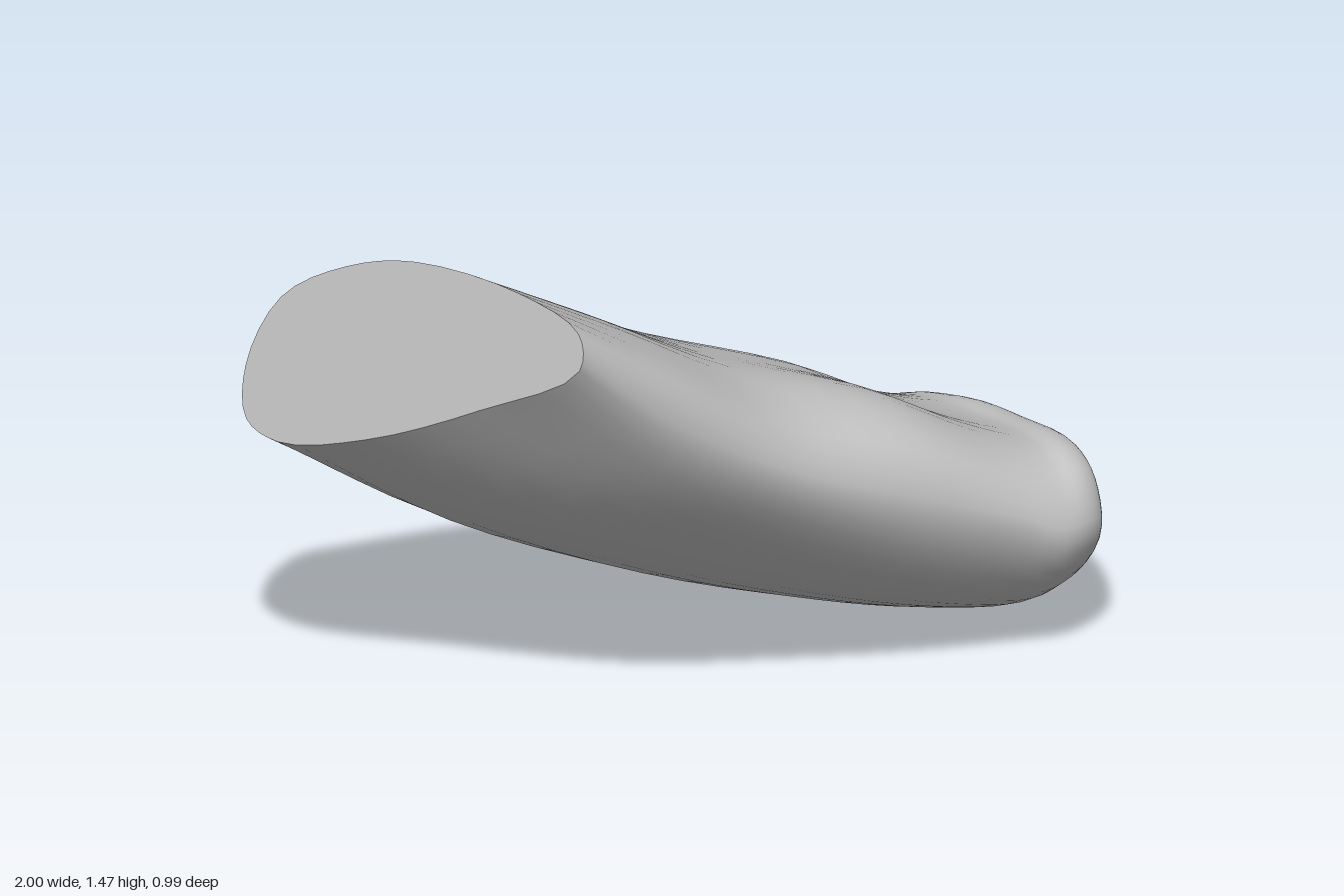
import * as THREE from 'three';

const AROUND = 44, STEPS = 4;

// Cross-sections: x at z = 0, yaw and lean of the slice, then [z, y] outline
// running top -> back -> bottom -> front.
const sections = [
  { x: -0.82, yaw: 0.37, lean: 0.14, pts: [[0.3, 1.46], [0.02, 1.45], [-0.16, 1.38], [-0.32, 1.25], [-0.39, 1.05], [-0.37, 0.92], [-0.28, 0.89], [-0.05, 0.97], [0.24, 1.14], [0.485, 1.32], [0.47, 1.41]] },
  { x: -0.42, yaw: 0.22, lean: 0.06, pts: [[0.25, 1.24], [0, 1.22], [-0.2, 1.16], [-0.39, 1.03], [-0.46, 0.84], [-0.42, 0.63], [-0.31, 0.55], [-0.03, 0.63], [0.29, 0.83], [0.45, 1.02], [0.43, 1.17]] },
  { x: 0, yaw: 0.1, lean: 0, pts: [[0.22, 0.99], [0, 0.98], [-0.22, 0.93], [-0.42, 0.8], [-0.495, 0.6], [-0.46, 0.4], [-0.3, 0.29], [0, 0.37], [0.27, 0.57], [0.425, 0.78], [0.38, 0.92]] },
  { x: 0.4, yaw: 0.03, lean: 0, pts: [[0.22, 0.82], [0, 0.78], [-0.22, 0.73], [-0.42, 0.62], [-0.495, 0.46], [-0.45, 0.25], [-0.26, 0.12], [0.02, 0.19], [0.27, 0.36], [0.42, 0.59], [0.38, 0.75]] },
  { x: 0.66, yaw: 0.04, lean: 0, pts: [[0.23, 0.655], [0, 0.62], [-0.21, 0.575], [-0.4, 0.5], [-0.48, 0.36], [-0.43, 0.17], [-0.22, 0.035], [0.04, 0.1], [0.28, 0.25], [0.42, 0.47], [0.37, 0.6]] },
  { x: 0.84, yaw: 0, lean: 0, pts: [[0.25, 0.575], [0, 0.54], [-0.2, 0.51], [-0.38, 0.44], [-0.455, 0.3], [-0.41, 0.12], [-0.2, 0], [0.05, 0.06], [0.28, 0.2], [0.42, 0.4], [0.37, 0.53]] },
];

// Smooth closed ring of points for one section
function ring({ x, yaw, lean, pts }) {
  const yMid = pts.reduce((sum, p) => sum + p[1], 0) / pts.length;
  const corners = pts.map(([z, y]) => new THREE.Vector3(x + yaw * z + lean * (y - yMid), y, z));
  const curve = new THREE.CatmullRomCurve3(corners, true);
  return Array.from({ length: AROUND }, (_, j) => curve.getPoint(j / AROUND));
}

function toGeometry(points, index) {
  const geometry = new THREE.BufferGeometry().setFromPoints(points);
  geometry.setIndex(index);
  geometry.computeVertexNormals();
  return geometry;
}

// Skin through the rings, smoothed lengthwise
function loft(rings) {
  const rows = (rings.length - 1) * STEPS;
  const points = [], index = [];
  const rails = rings[0].map((_, j) => new THREE.CatmullRomCurve3(rings.map((r) => r[j])));
  for (let i = 0; i <= rows; i++) {
    for (let j = 0; j < AROUND; j++) {
      points.push(rails[j].getPoint(i / rows));
      if (i === rows) continue;
      const k = (j + 1) % AROUND;
      const a = i * AROUND + j, b = i * AROUND + k;
      index.push(a, a + AROUND, b, b, a + AROUND, b + AROUND);
    }
  }
  return toGeometry(points, index);
}

// Flat fan closing a ring
function fan(points) {
  const center = points.reduce((c, p) => c.add(p), new THREE.Vector3()).divideScalar(AROUND);
  const index = [];
  for (let j = 0; j < AROUND; j++) index.push(AROUND, j, (j + 1) % AROUND);
  return toGeometry([...points, center], index);
}

export function createModel() {
  const group = new THREE.Group();
  group.name = 'curvedSegment';
  const material = new THREE.MeshStandardMaterial({ color: 0xcccccc });
  const rings = sections.map(ring);

  // Rounded lower end: shrinking copies of the last ring, bowed back at the rear
  const last = rings.pop();
  for (const [x, scale] of [[0.84, 1], [0.92, 0.94], [0.967, 0.83], [0.993, 0.55], [1, 0]]) {
    rings.push(last.map((p) => {
      const y = 0.29 + (p.y - 0.29) * scale;
      const z = 0.08 + (p.z - 0.08) * scale;
      return new THREE.Vector3(x - 0.35 * (z - 0.08) ** 2, y, z);
    }));
  }

  const body = new THREE.Mesh(loft(rings), material);
  body.name = 'body';
  group.add(body);

  // Flat cut at the upper end
  const cutFace = new THREE.Mesh(fan(rings[0]), material);
  cutFace.name = 'cutFace';
  group.add(cutFace);

  return group;
}
